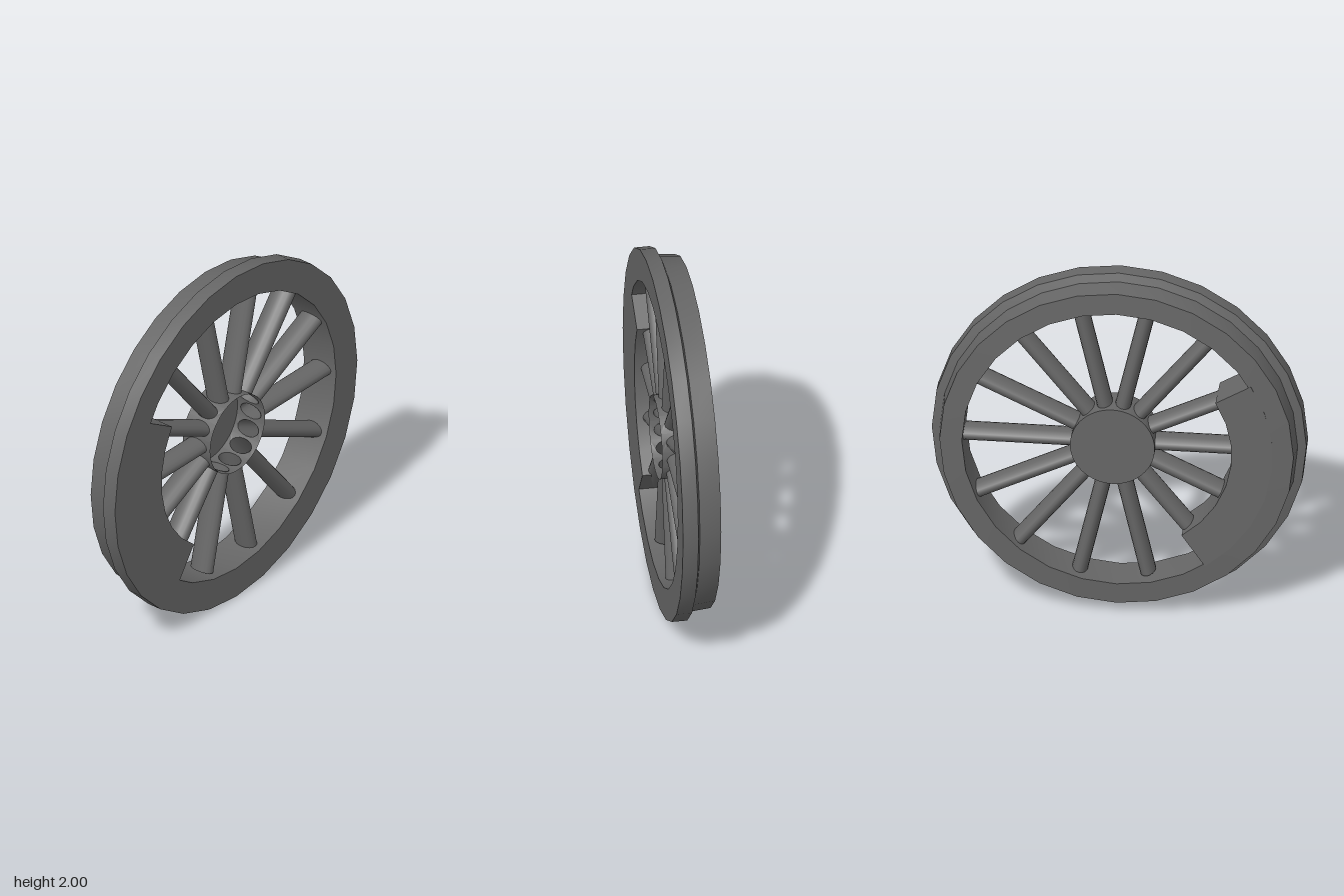
import * as THREE from 'three';
import { toCreasedNormals, mergeGeometries } from 'three/addons/utils/BufferGeometryUtils.js';

const SPOKES = 14, SIDES = 28;
const HUB_R = 0.226, HUB_BACK = -0.09, HUB_FRONT = 0.1, HUB_MID = 0.005;
const SPOKE_W = 0.0425, SPOKE_D = 0.07, SPOKE_END = 0.815;

export function createModel() {
  const iron = new THREE.MeshStandardMaterial({ color: 0x666666 });
  iron.name = 'dark iron';
  iron.side = THREE.DoubleSide;

  const model = new THREE.Group();
  model.name = 'spokedWheel';
  // Wheel is built around the z axis, then turned so its axle lies along x
  const wheel = new THREE.Group();
  wheel.name = 'wheel';
  wheel.position.y = 1;
  wheel.rotation.y = Math.PI / 2;
  model.add(wheel);

  const add = (parent, name, geometry) => {
    const mesh = new THREE.Mesh(geometry, iron);
    mesh.name = name;
    parent.add(mesh);
    return mesh;
  };

  // Rim: tread, sloped step and flange as one closed profile
  const profile = [
    [0.825, -0.112], [0.945, -0.104], [0.955, 0.012], [1, 0.027],
    [1, 0.11], [0.825, 0.11], [0.825, -0.112],
  ].map(([r, w]) => new THREE.Vector2(r, w));
  const rim = new THREE.LatheGeometry(profile, SIDES).rotateX(Math.PI / 2);
  add(wheel, 'rim', toCreasedNormals(rim, 0.3));

  // Counterweight: thick arc filling part of the rim
  const a0 = THREE.MathUtils.degToRad(149.3), a1 = THREE.MathUtils.degToRad(235.5);
  const arc = (r, from, to) => Array.from({ length: 8 }, (_, i) => {
    const a = from + (to - from) * i / 7;
    return new THREE.Vector2(r * Math.cos(a), r * Math.sin(a));
  });
  const weightShape = new THREE.Shape([...arc(0.835, a0, a1), ...arc(0.615, a1, a0)]);
  const weight = new THREE.ExtrudeGeometry(weightShape, { depth: 0.222, bevelEnabled: false });
  weight.translate(0, 0, -0.112);
  add(wheel, 'counterweight', toCreasedNormals(weight, 0.3));

  // Hub and spokes sit slightly off the rim's centre
  const centre = new THREE.Group();
  centre.name = 'hubAndSpokes';
  centre.position.x = 0.024;
  wheel.add(centre);
  add(centre, 'hubPlate', new THREE.CircleGeometry(HUB_R, SPOKES * 4).rotateY(Math.PI)).position.z = HUB_BACK;

  // Hub wall section with an oval spoke opening, bent round the hub
  const half = HUB_R * Math.PI / SPOKES;
  const edge = [-1, -0.5, 0, 0.5, 1].map(t => t * half);
  const wallShape = new THREE.Shape([
    ...edge.map(s => new THREE.Vector2(s, HUB_BACK)),
    ...edge.slice().reverse().map(s => new THREE.Vector2(s, HUB_FRONT)),
  ]);
  wallShape.holes.push(new THREE.Path().absellipse(0, HUB_MID, SPOKE_W, SPOKE_D, 0, Math.PI * 2, true));
  const wall = new THREE.ShapeGeometry(wallShape, 8);
  const p = wall.attributes.position;
  for (let i = 0; i < p.count; i++) {
    const a = p.getX(i) / HUB_R;
    p.setXYZ(i, HUB_R * Math.sin(a), HUB_R * Math.cos(a), p.getY(i));
  }
  wall.computeVertexNormals();

  // Oval hollow spoke, open into the hub and closed at the rim
  const start = HUB_R - 0.005, length = SPOKE_END - start;
  const tube = new THREE.CylinderGeometry(SPOKE_W, SPOKE_W, length, 16, 1, true);
  tube.translate(0, start + length / 2, 0);
  const tip = new THREE.CircleGeometry(SPOKE_W, 16).rotateX(-Math.PI / 2).translate(0, SPOKE_END, 0);
  const spoke = mergeGeometries([tube, tip]);
  spoke.scale(1, 1, SPOKE_D / SPOKE_W).translate(0, 0, HUB_MID);

  for (let i = 0; i < SPOKES; i++) {
    const angle = i * 2 * Math.PI / SPOKES - Math.PI / 2;
    add(centre, 'hubWall', wall).rotation.z = angle;
    add(centre, 'spoke', spoke).rotation.z = angle;
  }
  return model;
}
